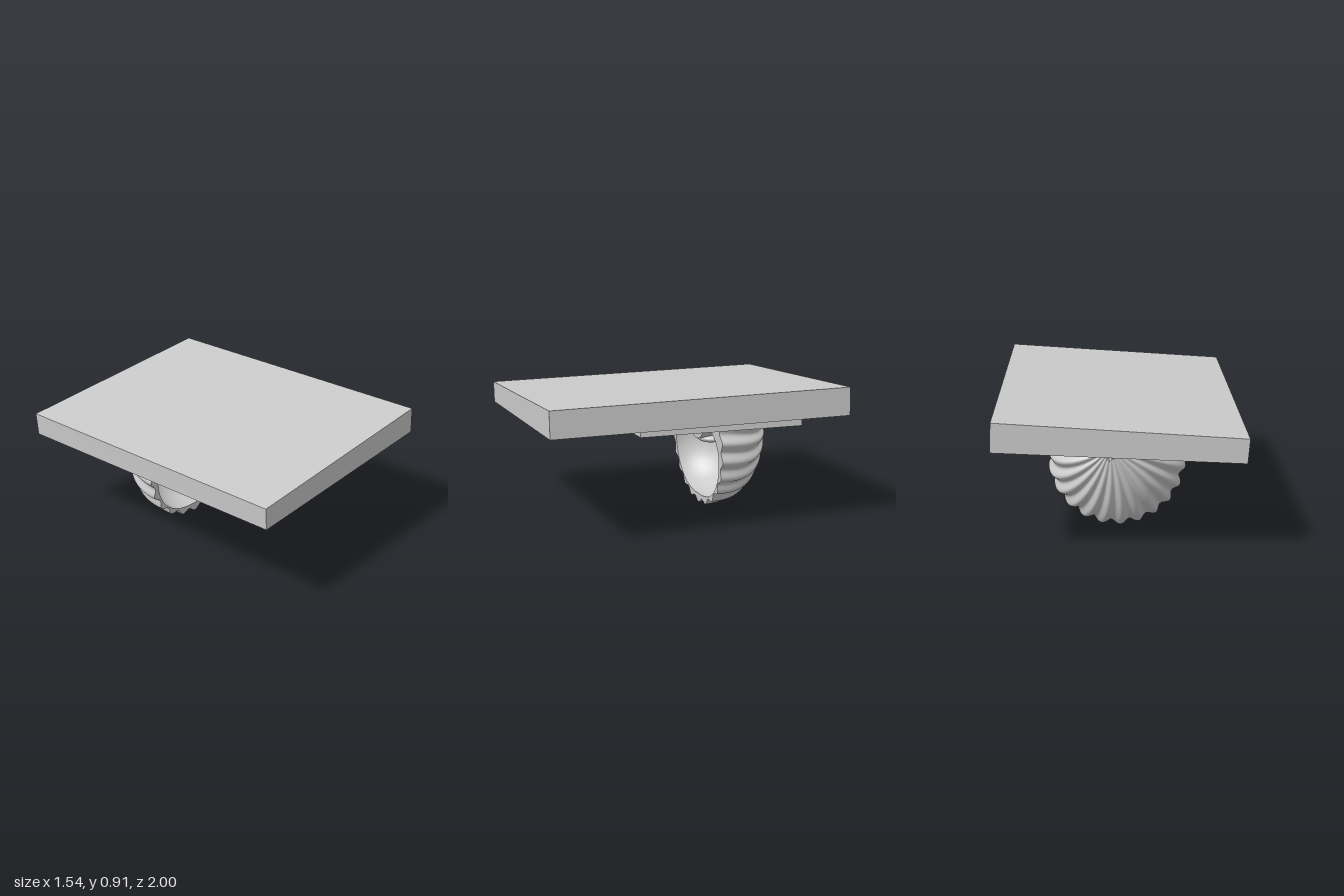
import * as THREE from 'three';

const grey = new THREE.MeshStandardMaterial({ color: 0xcccccc });
const greyDouble = new THREE.MeshStandardMaterial({ color: 0xcccccc, side: THREE.DoubleSide });
const lerp = THREE.MathUtils.lerp;

function mesh(name, geometry, material = grey) {
  const m = new THREE.Mesh(geometry, material);
  m.name = name;
  return m;
}

// Extrude an (x, -z) outline upwards between two tilted planes
function tiltedPlate(shape, bottom, top) {
  const g = new THREE.ExtrudeGeometry(shape, { depth: 1, bevelEnabled: false, curveSegments: 10 });
  g.rotateX(-Math.PI / 2);
  const p = g.attributes.position;
  for (let i = 0; i < p.count; i++) {
    const x = p.getX(i), y = p.getY(i), z = p.getZ(i);
    p.setXYZ(i, x - 0.01 * y, lerp(bottom(x, z), top(x, z), y), z);
  }
  g.computeVertexNormals();
  return g;
}

// Smooth grid surface from a function (u, v) -> [x, y, z]
function gridSurface(fn, nu, nv) {
  const pos = [], idx = [];
  for (let j = 0; j <= nv; j++)
    for (let i = 0; i <= nu; i++) pos.push(...fn(i / nu, j / nv));
  for (let j = 0; j < nv; j++)
    for (let i = 0; i < nu; i++) {
      const a = j * (nu + 1) + i, b = a + 1, c = a + nu + 1, d = c + 1;
      idx.push(a, c, b, b, c, d);
    }
  const g = new THREE.BufferGeometry();
  g.setAttribute('position', new THREE.Float32BufferAttribute(pos, 3));
  g.setIndex(idx);
  g.computeVertexNormals();
  return g;
}

const slabBottom = (x, z) => 0.69 + 0.05 * x + 0.006 * z;
const slabTop = (x) => 0.854 + 0.07 * x;
const plateBottom = (x, z) => 0.625 + 0.043 * x + 0.014 * z;

// Scalloped rim: an arc open at the top
const START = -Math.PI - 0.45, END = 0.45, RIBS = 22;
const rimZ = (y) => -0.26 + 0.04 * y;
const HUB = { x: 0.05, y: 0.63, z: -0.66 };

function rimPoint(a, twist = 0) {
  const r = 0.443 + 0.015 * Math.cos(RIBS * (a + Math.PI / 2 + twist));
  return [r * Math.cos(a), 0.455 + r * Math.sin(a)];
}

// Ribbed dome running from the rim to the hub at the upper back
function domePoint(u, t) {
  const a = lerp(START, END, u), twist = 0.25 * t;
  const [rx, ry] = rimPoint(a, twist);
  const c = Math.cos(t * Math.PI / 2);
  const s = Math.pow(1 - Math.pow(c, 2.5), 0.4);
  const ridge = 0.018 * s * (1 - t) * Math.cos(RIBS * (a + Math.PI / 2 + twist));
  const z0 = rimZ(ry);
  return [lerp(HUB.x, rx, c), lerp(HUB.y, ry, c), lerp(z0, HUB.z, s) - ridge];
}

// Heart-shaped mouth of the hollow
const half = [[0.08, 0.485], [0.14, 0.545], [0.22, 0.57], [0.31, 0.535], [0.375, 0.45],
  [0.38, 0.33], [0.33, 0.2], [0.22, 0.1], [0.1, 0.065]];
const mouthCurve = new THREE.CatmullRomCurve3(
  [[0, 0.46], ...half, [0, 0.06], ...half.slice().reverse().map(([x, y]) => [-x, y])]
    .map(([x, y]) => new THREE.Vector3(x, y, 0)), true);

function bowlPoint(u, t) {
  const p = mouthCurve.getPoint(u % 1);
  const c = Math.cos(t * Math.PI / 2), s = Math.sin(t * Math.PI / 2);
  return [p.x * c, lerp(0.38, p.y, c), rimZ(p.y) - 0.31 * s];
}

function createShell() {
  const shell = new THREE.Group();
  shell.name = 'shell';
  shell.add(mesh('ribbedDome', gridSurface(domePoint, 260, 40), greyDouble));

  // Flat front face between scallops and hollow
  const face = new THREE.Shape();
  for (let i = 0; i <= 260; i++) {
    const [x, y] = rimPoint(lerp(START, END, i / 260));
    if (i) face.lineTo(x, y); else face.moveTo(x, y);
  }
  const hole = new THREE.Path();
  hole.setFromPoints(Array.from({ length: 96 }, (_, i) => {
    const p = mouthCurve.getPoint(i / 96);
    return new THREE.Vector2(p.x, p.y);
  }));
  face.holes.push(hole);
  const faceGeo = new THREE.ShapeGeometry(face);
  const p = faceGeo.attributes.position;
  for (let i = 0; i < p.count; i++) p.setZ(i, rimZ(p.getY(i)));
  faceGeo.computeVertexNormals();
  shell.add(mesh('rimFace', faceGeo, greyDouble));

  shell.add(mesh('hollow', gridSurface(bowlPoint, 96, 24), greyDouble));

  // Curled lip under the dip of the mouth
  const lip = mesh('curledLip', new THREE.SphereGeometry(1, 24, 16));
  lip.scale.set(0.12, 0.035, 0.08);
  lip.position.set(0, 0.465, -0.33);
  shell.add(lip);
  return shell;
}

export function createModel() {
  const model = new THREE.Group();
  model.name = 'shellBracketShelf';

  // Thick tilted slab
  const slab = new THREE.Shape([[-0.766, -1], [0.768, -1], [0.768, 1], [-0.766, 1]]
    .map(([x, y]) => new THREE.Vector2(x, y)));
  model.add(mesh('slab', tiltedPlate(slab, slabBottom, slabTop)));

  // Under-plate: straight at the back, stepped and rounded at the front
  const plate = new THREE.Shape();
  plate.moveTo(-0.605, 0.74);
  plate.lineTo(-0.605, -0.38);
  plate.lineTo(-0.47, -0.38);
  plate.quadraticCurveTo(-0.37, -0.4, -0.37, -0.55);
  plate.lineTo(-0.29, -0.57);
  plate.bezierCurveTo(-0.25, -0.88, 0.25, -0.88, 0.29, -0.57);
  plate.lineTo(0.37, -0.55);
  plate.quadraticCurveTo(0.37, -0.4, 0.47, -0.38);
  plate.lineTo(0.605, -0.38);
  plate.lineTo(0.605, 0.74);
  plate.closePath();
  model.add(mesh('underPlate', tiltedPlate(plate, plateBottom, (x, z) => slabBottom(x, z) + 0.01)));

  model.add(createShell());
  return model;
}
